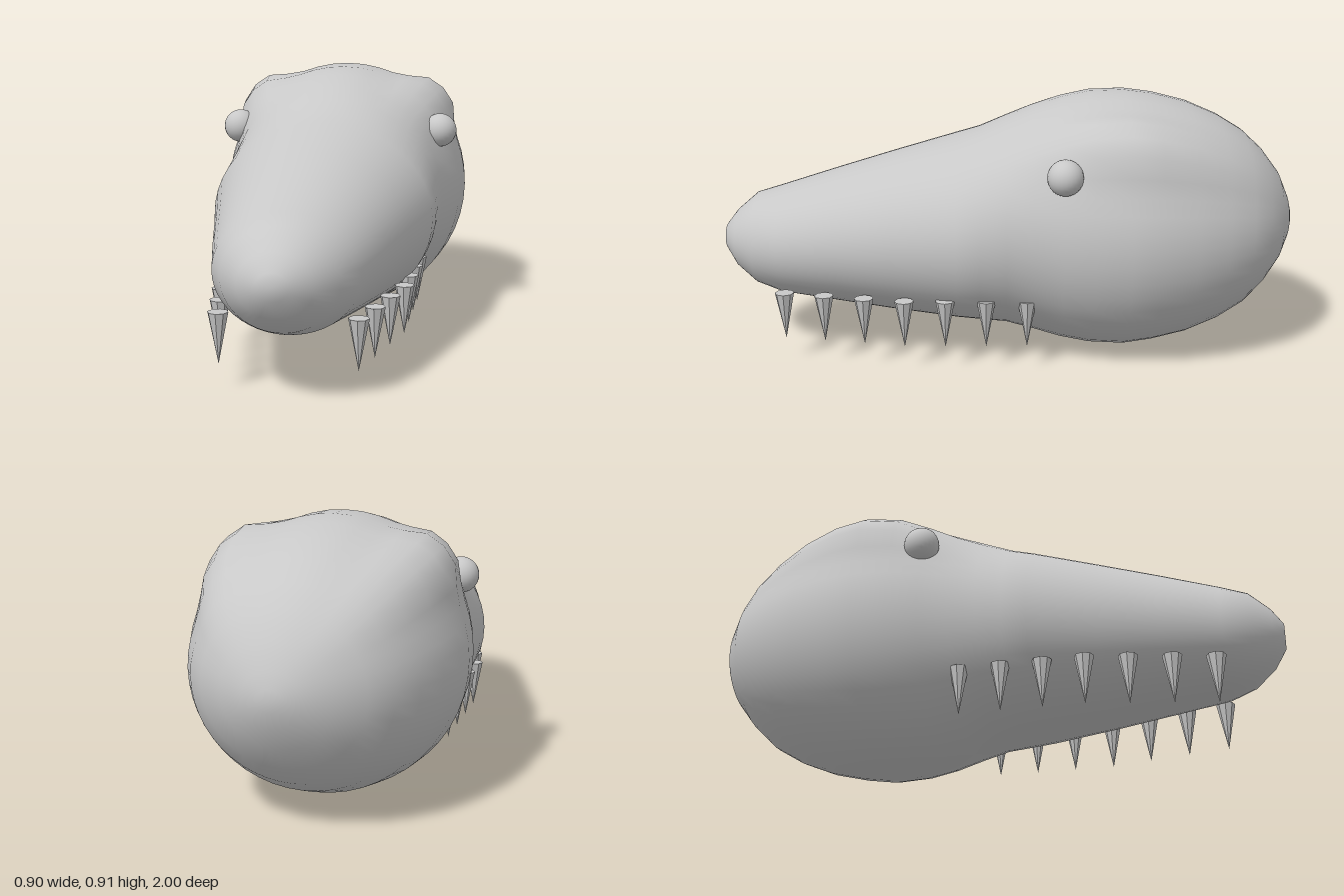
import * as THREE from 'three';

// head cross-sections, nose to back: z, top y, bottom y, half width, brow bulge
const SECTIONS = [
  [1.0, 0.43, 0.345, 0.05, 0],
  [0.96, 0.482, 0.282, 0.115, 0],
  [0.89, 0.542, 0.222, 0.18, 0],
  [0.8, 0.568, 0.19, 0.228, 0],
  [0.6, 0.63, 0.16, 0.278, 0],
  [0.4, 0.69, 0.13, 0.325, 0],
  [0.18, 0.753, 0.102, 0.38, 0],
  [0.1, 0.776, 0.093, 0.385, 0],
  [0.01, 0.815, 0.082, 0.385, 0],
  [-0.08, 0.852, 0.055, 0.39, 0.02],
  [-0.18, 0.885, 0.025, 0.415, 0.065],
  [-0.28, 0.906, 0.006, 0.438, 0.115],
  [-0.4, 0.91, 0.001, 0.45, 0.14],
  [-0.5, 0.897, 0.016, 0.443, 0.13],
  [-0.62, 0.867, 0.045, 0.418, 0.1],
  [-0.73, 0.82, 0.09, 0.375, 0.07],
  [-0.82, 0.765, 0.145, 0.325, 0.045],
  [-0.89, 0.7, 0.215, 0.262, 0.02],
  [-0.95, 0.62, 0.295, 0.175, 0],
  [-0.985, 0.54, 0.37, 0.095, 0],
  [-1.0, 0.49, 0.42, 0.04, 0],
];

// closed loft of elliptical rings with a bulge at the upper corners
function headGeometry(sides) {
  const pos = [], idx = [];
  for (const [z, top, bottom, half, bulge] of SECTIONS) {
    for (let j = 0; j < sides; j++) {
      const a = (j / sides) * Math.PI * 2;
      const fromCorner = Math.abs(THREE.MathUtils.radToDeg(Math.atan2(Math.sin(a), Math.abs(Math.cos(a)))) - 45);
      const r = 1 + bulge * Math.exp(-((fromCorner / 14) ** 3));
      pos.push(half * r * Math.cos(a), (top + bottom) / 2 + ((top - bottom) / 2) * r * Math.sin(a), z);
    }
  }
  const rings = SECTIONS.length, nose = rings * sides, back = nose + 1;
  const last = (rings - 1) * sides;
  pos.push(0, 0.387, 1, 0, 0.455, -1);
  for (let j = 0; j < sides; j++) {
    const k = (j + 1) % sides;
    for (let i = 0; i < rings - 1; i++) {
      const a = i * sides + j, b = i * sides + k;
      idx.push(a, a + sides, b, b, a + sides, b + sides);
    }
    idx.push(nose, j, k, back, last + k, last + j);
  }
  const g = new THREE.BufferGeometry();
  g.setAttribute('position', new THREE.Float32BufferAttribute(pos, 3));
  g.setIndex(idx);
  g.computeVertexNormals();
  return g;
}

export function createModel() {
  const model = new THREE.Group();
  model.name = 'reptileHead';
  const grey = new THREE.MeshStandardMaterial({ color: 0xc8c8c8 });
  grey.name = 'lightGrey';

  const add = (name, geometry, x, y, z) => {
    const mesh = new THREE.Mesh(geometry, grey);
    mesh.name = name;
    mesh.position.set(x, y, z);
    model.add(mesh);
  };

  // skull and snout in one skin
  add('head', headGeometry(48), 0, 0, 0);

  const eye = new THREE.SphereGeometry(0.06, 24, 16);
  // faceted cone, point down
  const tooth = new THREE.ConeGeometry(0.033, 0.165, 8).rotateX(Math.PI).toNonIndexed();
  tooth.computeVertexNormals();

  for (const [side, s] of [['left', 1], ['right', -1]]) {
    add(side + 'Eye', eye, s * 0.37, 0.69, -0.18);
    // the tooth row widens over the first four teeth, then runs straight
    for (let i = 0; i < 7; i++) {
      add(side + 'Tooth' + (i + 1), tooth, s * Math.min(0.217 + 0.03 * i, 0.307), 0.163, 0.775 - 0.139 * i);
    }
  }
  return model;
}
